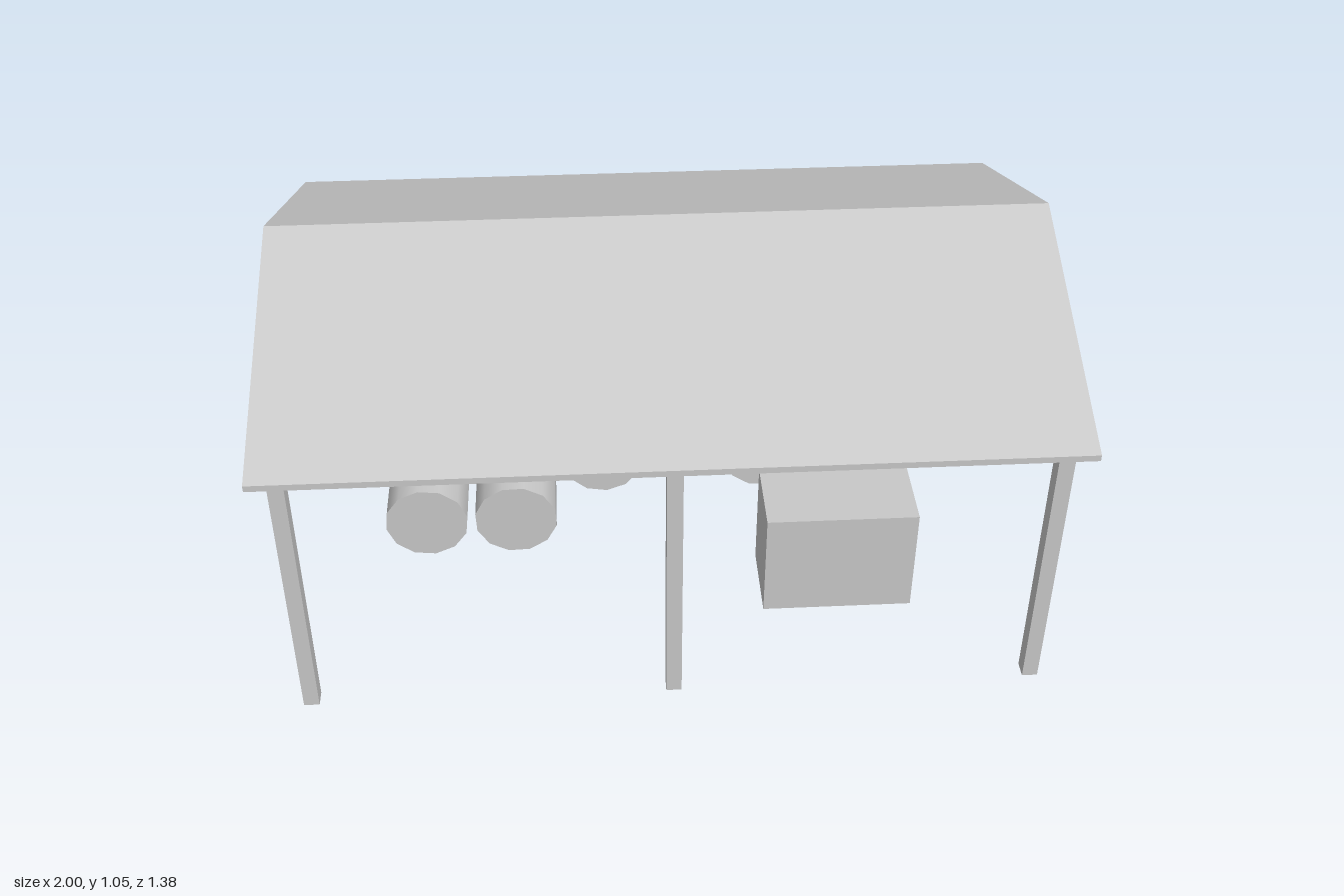
import * as THREE from 'three';

export function createModel() {
  const model = new THREE.Group();
  model.name = 'openStorageShed';
  const grey = new THREE.MeshStandardMaterial({ color: 0xc8c8c8 });
  grey.name = 'plain grey';

  function add(name, geometry, x, y, z) {
    const mesh = new THREE.Mesh(geometry, grey);
    mesh.name = name;
    mesh.position.set(x, y, z);
    model.add(mesh);
    return mesh;
  }

  // Gabled roof: a thin chevron drawn across the depth and extruded along x
  const chevron = new THREE.Shape([
    [-0.69, 0.76], [0, 1.034], [0.69, 0.76],
    [0.69, 0.777], [0, 1.051], [-0.69, 0.777],
  ].map(([z, y]) => new THREE.Vector2(z, y)));
  const roof = new THREE.ExtrudeGeometry(chevron, { depth: 2, bevelEnabled: false });
  roof.translate(0, 0, -1);
  roof.rotateY(-Math.PI / 2);
  add('roof', roof, 0, 0, 0);

  // Six square posts
  const post = new THREE.BoxGeometry(0.04, 0.785, 0.042);
  for (const [side, z] of [['front', 0.625], ['back', -0.625]]) {
    for (const x of [-0.937, 0, 0.937]) add(side + 'Post', post, x, 0.3925, z);
  }

  // Back wall, stopping short of the eaves
  add('backWall', new THREE.BoxGeometry(1.874, 0.708, 0.016), 0, 0.354, -0.625);

  // Barrels lying with their axes front to back
  const barrel = new THREE.CylinderGeometry(0.116, 0.116, 0.238, 12);
  barrel.rotateX(Math.PI / 2);
  const low = 0.119, high = 0.347, rear = -0.281, fore = -0.03;
  const barrels = [
    [-0.66, low, rear, 0.2], [-0.41, low, rear, 0.35], [-0.16, low, rear, 0.1],
    [-0.66, low, fore, 0.15], [-0.41, low, fore, 0.3],
    [-0.533, high, rear, 0],
    [0.311, low, rear, 0.2], [0.557, low, rear, 0.05],
  ];
  for (const [x, y, z, roll] of barrels) add('barrel', barrel, x, y, z).rotation.z = roll;

  // Crate
  add('crate', new THREE.BoxGeometry(0.405, 0.314, 0.218), 0.466, 0.157, 0.252);

  return model;
}
